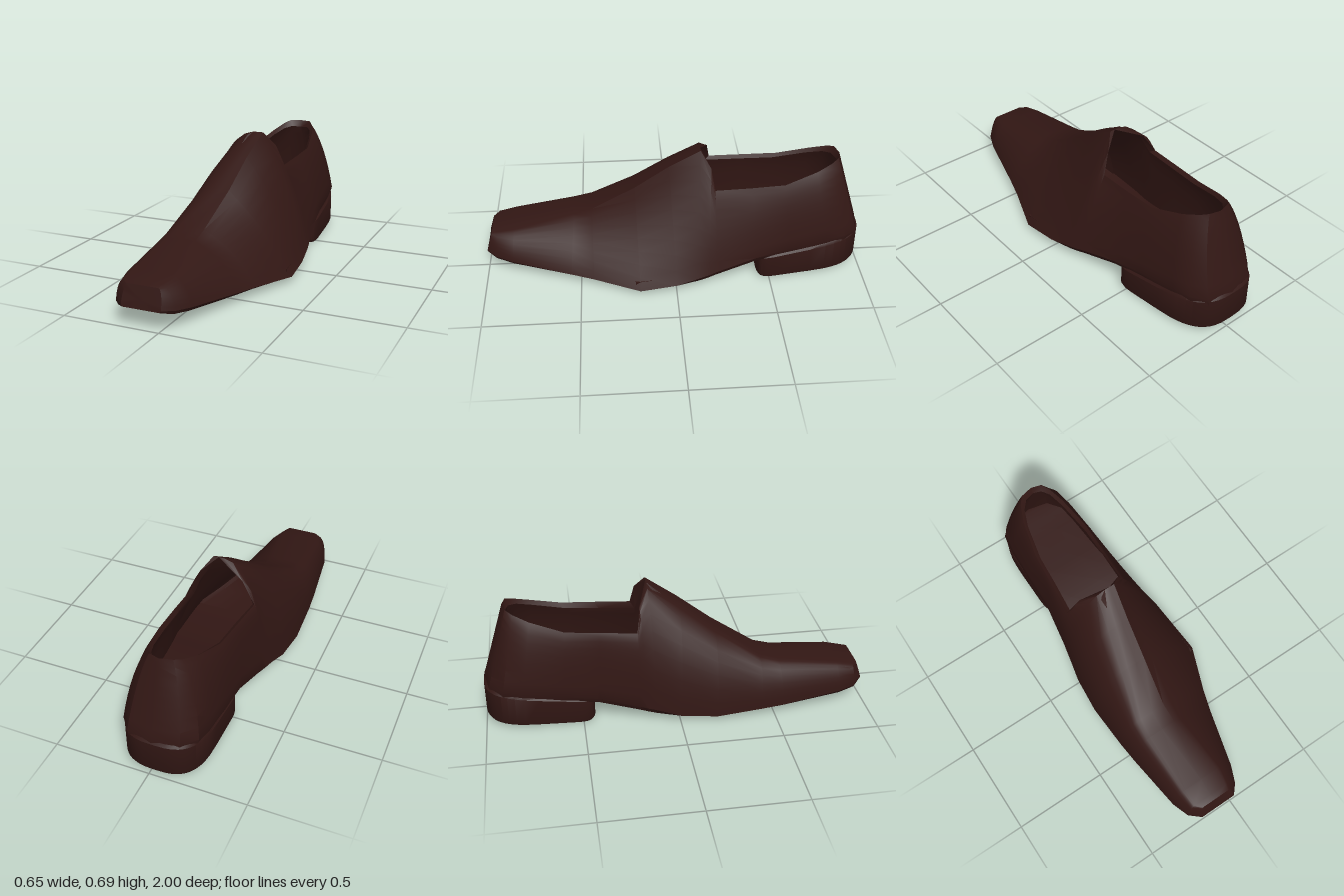
import * as THREE from 'three';
import { toCreasedNormals } from 'three/addons/utils/BufferGeometryUtils.js';

const leather = new THREE.MeshStandardMaterial({ color: 0x321714, side: THREE.DoubleSide });
const mix = THREE.MathUtils.lerp;

// Skin a grid of points, given as rows of equal length.
function loft(name, rows, crease = 0.6) {
  const n = rows[0].length, index = [];
  for (let i = 0; i < rows.length - 1; i++) {
    for (let j = 0; j < n - 1; j++) {
      const a = i * n + j, b = a + n;
      index.push(a, a + 1, b, a + 1, b + 1, b);
    }
  }
  const geometry = new THREE.BufferGeometry();
  geometry.setAttribute('position', new THREE.Float32BufferAttribute(rows.flat(2), 3));
  geometry.setIndex(index);
  const mesh = new THREE.Mesh(toCreasedNormals(geometry, crease), leather);
  mesh.name = name;
  return mesh;
}

// Stations from toe to heel: z at sole and at top, side x (right, left),
// sole y, side edge y, top edge x (right, left), top y, roundness (right, left).
const vamp = [
  [1.00, 0.97, -0.19, 0.015, 0.10, 0.11, -0.17, -0.01, 0.205, 1.0, 0.9],
  [0.95, 0.94, -0.245, 0.06, 0.083, 0.10, -0.20, -0.01, 0.212, 1.0, 0.7],
  [0.86, 0.85, -0.275, 0.10, 0.072, 0.09, -0.20, 0.0, 0.23, 1.0, 0.6],
  [0.55, 0.53, -0.31, 0.19, 0.045, 0.06, -0.20, -0.05, 0.28, 1.0, 0.45],
  [0.43, 0.43, -0.32, 0.23, 0.04, 0.052, -0.19, -0.05, 0.31, 0.95, 0.4],
  [0.19, 0.20, -0.33, 0.325, 0.028, 0.036, -0.12, -0.02, 0.455, 0.9, 0.2],
  [0.00, 0.02, -0.315, 0.31, 0.035, 0.05, -0.07, 0.0, 0.59, 0.95, 0.2],
  [-0.12, -0.14, -0.29, 0.295, 0.05, 0.08, -0.03, 0.025, 0.695, 0.95, 0.2],
];
const quarters = [
  [-0.17, -0.19, -0.28, 0.285, 0.06, 0.09, -0.15, 0.08, 0.62, 0.9, 0.2],
  [-0.21, -0.21, -0.272, 0.275, 0.07, 0.10, -0.22, 0.12, 0.51, 0.8, 0.2],
  [-0.42, -0.40, -0.24, 0.235, 0.12, 0.15, -0.205, 0.125, 0.52, 0.8, 0.3],
  [-0.60, -0.57, -0.24, 0.205, 0.14, 0.18, -0.19, 0.125, 0.53, 0.7, 0.4],
  [-0.80, -0.74, -0.235, 0.185, 0.16, 0.21, -0.15, 0.09, 0.58, 0.6, 0.5],
  [-0.90, -0.82, -0.22, 0.17, 0.17, 0.22, -0.115, 0.06, 0.61, 0.5, 0.5],
  [-0.97, -0.855, -0.155, 0.115, 0.18, 0.22, -0.085, 0.035, 0.625, 0.4, 0.4],
  [-0.995, -0.87, -0.02, -0.02, 0.18, 0.22, -0.02, -0.02, 0.625, 0.3, 0.3],
];

// One cross-section, from the right top edge under the sole to the left one.
// A closed section also meets in the middle of its top.
function section([zb, zt, xr, xl, yb, ys, tr, tl, yt, kr, kl], closed, inset = 0) {
  const side = (x, top, k, dir) => {
    const points = [[closed ? (tr + tl) / 2 : top, yt, zt]];
    for (let i = 0; i <= 8; i++) {
      const u = i / 8, a = u * Math.PI / 2;
      const across = mix(u, Math.sin(a), k), up = mix(1 - u, Math.cos(a), k);
      const shift = Math.min(1, u * 8) * inset;
      const sideways = dir * Math.min(shift, Math.abs(tr - tl) / 2);
      points.push([mix(top, x, across) + sideways, mix(ys, yt, up), mix(zb, zt, up) + shift]);
    }
    const mid = (xl + xr) / 2;
    for (const w of [0.93, 0.4]) points.push([mix(mid, x, w), yb + inset * 2, zb + inset]);
    return points;
  };
  return [...side(xr, tr, kr, 1), ...side(xl, tl, kl, -1).reverse()];
}

// D-shaped heel outline, scaled about its own middle, at a sloping height.
function heelRing(scale, yFront, yBack) {
  const ring = [], count = 40;
  for (let i = 0; i <= count; i++) {
    const a = (i / count) * Math.PI * 2, c = Math.cos(a), s = Math.sin(a);
    const power = s < 0 ? 0.68 : 0.22;
    const px = Math.sign(c) * Math.abs(c) ** power;
    const pz = Math.sign(s) * Math.abs(s) ** power;
    const t = (pz + 1) / 2;
    ring.push([mix(-0.03, -0.003, t) + px * mix(0.208, 0.23, t) * scale,
      mix(yBack, yFront, t), -0.717 + pz * 0.282 * scale]);
  }
  return ring;
}

export function createModel() {
  const shoe = new THREE.Group();
  shoe.name = 'shoe';

  // Upper and sole as one skin, closed at the toe tip
  const front = vamp.map((s) => section(s, true));
  const tip = front[0].map(() => [-0.09, 0.14, 0.99]);
  shoe.add(loft('upper', [tip, ...front, ...quarters.map((s) => section(s, false))]));

  // Lining and insole, running forward under the vamp
  const inner = vamp.slice(5).map((s, i) => section(s.with(8, s[8] - (i < 2 ? 0.025 : 0)), true, 0.025));
  shoe.add(loft('lining', [...inner, ...quarters.map((s) => section(s, false, 0.025))]));

  // Heel block, with softened lower and upper edges
  const rings = [[0, 0.017, 0.017], [0.97, 0.002, 0.03], [1, 0.018, 0.045],
    [1, 0.125, 0.205], [0.96, 0.135, 0.22], [0.85, 0.13, 0.18], [0, 0.15, 0.15]];
  shoe.add(loft('heel', rings.map((r) => heelRing(...r))));

  return shoe;
}
